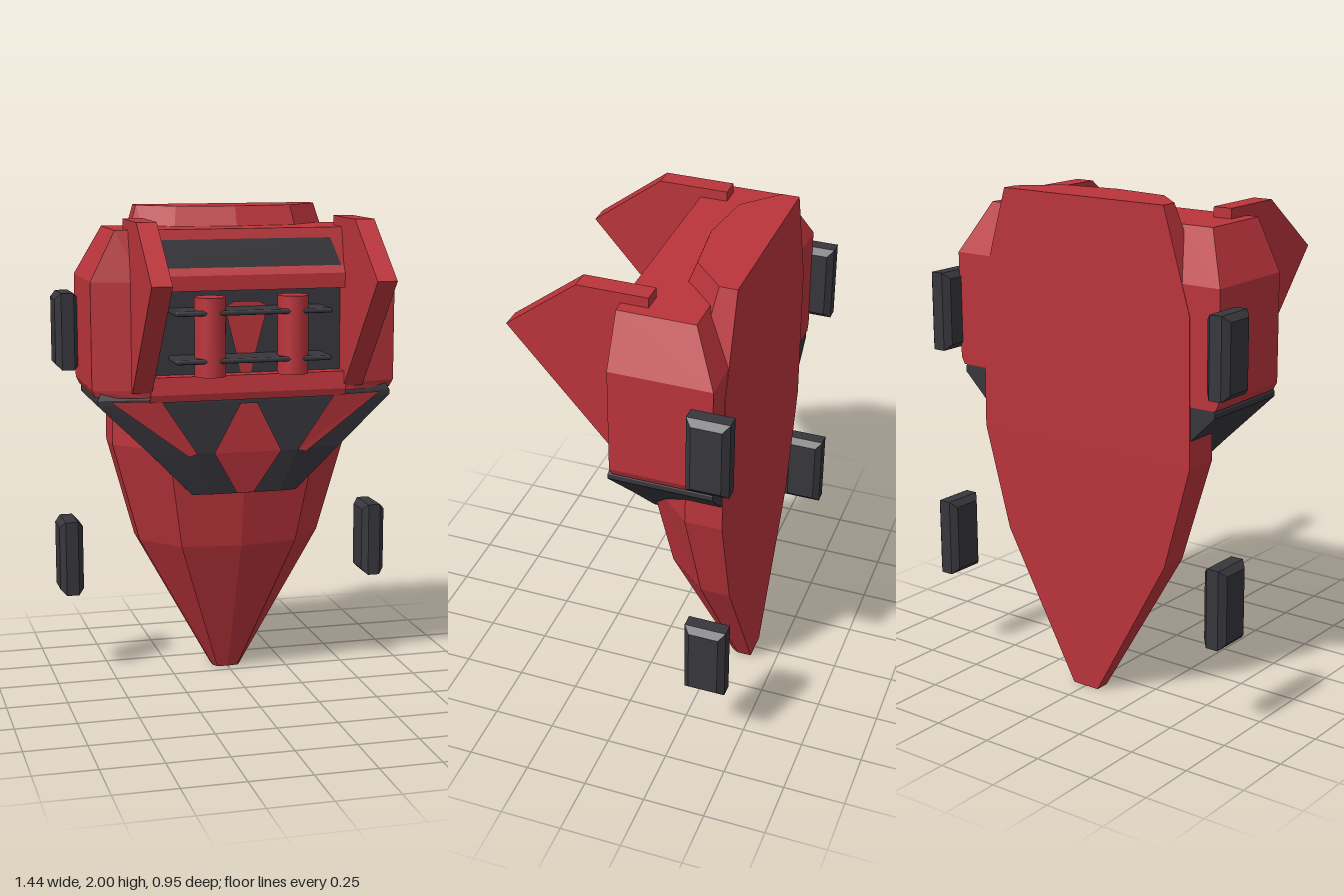
import * as THREE from 'three';
import { RoundedBoxGeometry } from 'three/addons/geometries/RoundedBoxGeometry.js';

const red = new THREE.MeshStandardMaterial({ color: 0xb9343b });
red.name = 'red paint';
const dark = new THREE.MeshStandardMaterial({ color: 0x36363c });
dark.name = 'dark grey';

// Flat-faced geometry from a list of triangle corners
function fromCorners(corners) {
  const g = new THREE.BufferGeometry();
  g.setAttribute('position', new THREE.Float32BufferAttribute(corners.flat(), 3));
  g.computeVertexNormals();
  return g;
}

// Skin stacked convex rings; each level is [y, [[x, z], ...]] running from back right to front
function loft(levels) {
  const rings = levels.map(([y, pts]) => pts.map(([x, z]) => [x, y, z]));
  const n = rings[0].length, out = [];
  for (let i = 0; i < rings.length - 1; i++) {
    for (let j = 0; j < n; j++) {
      const k = (j + 1) % n;
      const a = rings[i][j], b = rings[i][k], c = rings[i + 1][k], d = rings[i + 1][j];
      out.push(a, d, c, a, c, b);
    }
  }
  const bottom = rings[0], top = rings[rings.length - 1];
  for (let j = 1; j < n - 1; j++) {
    out.push(bottom[0], bottom[j], bottom[j + 1], top[0], top[j + 1], top[j]);
  }
  return fromCorners(out);
}

const flip = (pts) => pts.map(([x, ...rest]) => [-x, ...rest]).reverse();

// Complete a half ring (x > 0) with its mirror image
function symmetric([y, half]) {
  return [y, [...half, ...flip(half.filter(([x]) => x > 0))]];
}

// Single convex face, corners counter-clockwise seen from the front
function face(pts) {
  const out = [];
  for (let i = 1; i < pts.length - 1; i++) out.push(pts[0], pts[i], pts[i + 1]);
  return fromCorners(out);
}

// Extrude a (z, y) profile along x, centred on x = 0
function sideProfile(pts, width, bevel = 0) {
  const shape = new THREE.Shape(pts.map(([z, y]) => new THREE.Vector2(z, y)));
  const g = new THREE.ExtrudeGeometry(shape, {
    depth: width - 2 * bevel, bevelEnabled: bevel > 0, bevelThickness: bevel,
    bevelSize: bevel, bevelOffset: -bevel, bevelSegments: 1,
  });
  g.translate(0, 0, -width / 2 + bevel);
  g.rotateY(-Math.PI / 2);
  return g;
}

export function createModel() {
  const model = new THREE.Group();
  const add = (name, geometry, material, x = 0, y = 0, z = 0) => {
    const mesh = new THREE.Mesh(geometry, material);
    mesh.name = name;
    mesh.position.set(x, y, z);
    model.add(mesh);
  };

  // Faceted hull tapering down to the nose
  add('hull', loft([
    [0, [[0.06, -0.39], [0.06, -0.33], [0.045, -0.305], [0, -0.3]]],
    [0.6, [[0.39, -0.39], [0.39, -0.27], [0.245, -0.1], [0, -0.06]]],
    [1.02, [[0.505, -0.39], [0.505, -0.24], [0.31, -0.03], [0, 0.02]]],
    [1.6, [[0.5, -0.39], [0.5, -0.25], [0.3, -0.04], [0, 0.0]]],
    [2, [[0.38, -0.39], [0.38, -0.32], [0.24, -0.19], [0, -0.16]]],
  ].map(symmetric)), red);

  // Central body with the recessed window and the bars around it
  add('centralBody', sideProfile([
    [-0.388, 1.24], [0.07, 1.24], [0.08, 1.27], [0.07, 1.34], [0.004, 1.34],
    [0.004, 1.68], [0.075, 1.68], [0.075, 1.74], [0.055, 1.77], [0.03, 1.88],
    [0.02, 1.92], [-0.29, 1.92], [-0.388, 1.72],
  ], 0.81), red);
  add('windowPanel', new THREE.BoxGeometry(0.8, 0.34, 0.006), dark, 0, 1.51, 0.006);
  add('windowWedge', face([[-0.02, 1.34, 0.014], [0.02, 1.34, 0.014],
    [0.09, 1.61, 0.02], [0.05, 1.63, 0.02], [-0.05, 1.63, 0.02], [-0.09, 1.61, 0.02]]), red);
  add('upperVent', face([[-0.385, 1.77, 0.06], [0.385, 1.77, 0.06],
    [0.345, 1.88, 0.035], [-0.345, 1.88, 0.035]]), dark);

  // Dark chin wrapped around the hull
  add('chin', loft([
    [0.84, [[0.22, -0.385], [0.22, -0.01], [0.15, 0]]],
    [1.02, [[0.395, -0.385], [0.395, 0.015], [0.21, 0.045]]],
    [1.23, [[0.61, -0.385], [0.61, 0.03], [0.36, 0.06]]],
    [1.25, [[0.61, -0.385], [0.61, 0.03], [0.36, 0.06]]],
    [1.28, [[0.595, -0.385], [0.595, 0.02], [0.36, 0.05]]],
  ].map(symmetric)), dark);
  add('diamondTop', face([[-0.14, 1.02, 0.052], [0.14, 1.02, 0.052],
    [0.035, 1.225, 0.067], [-0.035, 1.225, 0.067]]), red);
  add('diamondBottom', face([[-0.035, 0.842, 0.008], [0.035, 0.842, 0.008],
    [0.14, 1.02, 0.052], [-0.14, 1.02, 0.052]]), red);

  // Mirrored cheeks, chin struts, fins, canisters and wheels
  const cheek = (hw, back, side, front) =>
    [[0.4, back], [hw, back], [hw, side], [0.44, front], [0.4, front]];
  const cheekLevels = [
    [1.26, cheek(0.615, -0.388, 0.01, 0.065)],
    [1.29, cheek(0.63, -0.388, 0.015, 0.07)],
    [1.72, cheek(0.63, -0.388, 0.015, 0.07)],
    [1.92, cheek(0.53, -0.29, 0.015, 0.02)],
  ];
  const strut = [[0.21, 1.02, 0.053], [0.245, 1.01, 0.05], [0.56, 1.245, 0.046], [0.36, 1.245, 0.068]];
  const fin = sideProfile([[-0.09, 1.28], [0.07, 1.28], [0.475, 1.74], [0.19, 1.96], [-0.09, 1.96]], 0.08);
  const wheel = sideProfile([[-0.083, -0.159], [0.083, -0.159], [0.083, 0.159], [-0.083, 0.159]], 0.1, 0.024);
  const canister = new THREE.CylinderGeometry(0.064, 0.064, 0.315, 12);
  for (const s of [1, -1]) {
    const side = s > 0 ? 'left' : 'right';
    const mirror = (pts) => (s > 0 ? pts : flip(pts));
    add(side + 'Cheek', loft(cheekLevels.map(([y, pts]) => [y, mirror(pts)])), red);
    add(side + 'ChinStrut', face(mirror(strut)), red);
    add(side + 'Fin', fin, red, s * 0.438);
    add(side + 'Canister', canister, red, s * 0.17, 1.503, 0.107);
    add(side + 'UpperWheel', wheel, dark, s * 0.671, 1.486, -0.393);
    add(side + 'LowerWheel', wheel, dark, s * 0.671, 0.522, -0.393);
  }

  // Thin shelves carrying the canisters
  const shelf = new RoundedBoxGeometry(0.64, 0.02, 0.16, 1, 0.009);
  for (const y of [1.41, 1.6]) add('canisterShelf', shelf, dark, 0, y, 0.085);

  return model;
}
